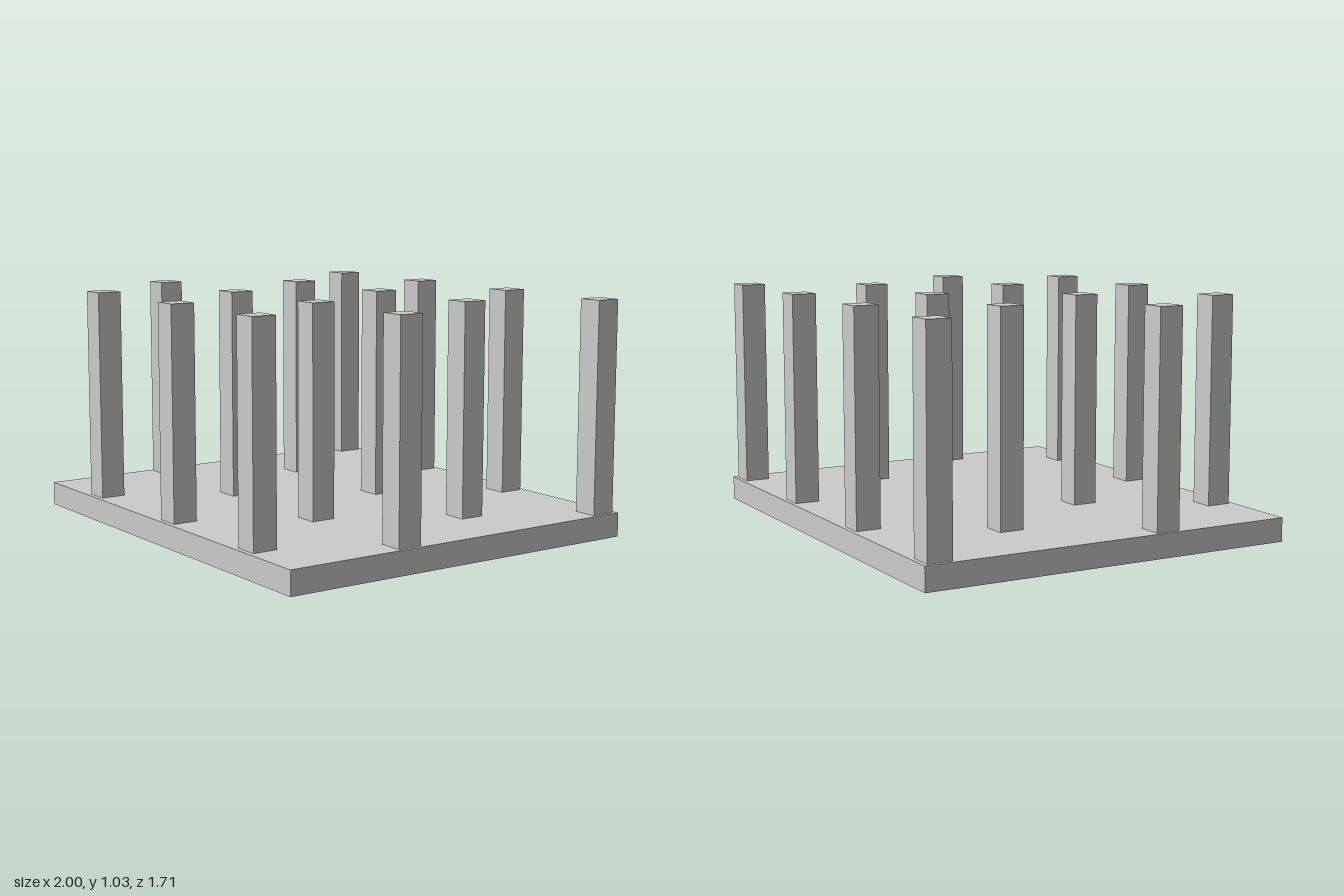
import * as THREE from 'three';

export function createModel() {
  const model = new THREE.Group();
  const material = new THREE.MeshStandardMaterial({ color: 0xcccccc, flatShading: true });

  const baseHeight = 0.105;
  const postHeight = 0.925;
  const postWidth = 0.11;

  // Flat slab that carries the posts
  const base = new THREE.Mesh(new THREE.BoxGeometry(2, baseHeight, 1.706), material);
  base.name = 'base';
  base.position.y = baseHeight / 2;
  model.add(base);

  // Square posts in staggered rows, back to front
  const wideRow = [-0.928, -0.298, 0.334, 0.928];
  const narrowRow = [-0.602, 0.04, 0.655];
  const rows = [
    { z: -0.779, xs: wideRow },
    { z: -0.276, xs: narrowRow },
    { z: 0.273, xs: wideRow },
    { z: 0.776, xs: narrowRow },
  ];
  const postGeometry = new THREE.BoxGeometry(postWidth, postHeight, postWidth);
  for (const { z, xs } of rows) {
    const row = new THREE.Group();
    row.name = 'postRow';
    row.position.set(0, baseHeight + postHeight / 2, z);
    for (const x of xs) {
      const post = new THREE.Mesh(postGeometry, material);
      post.name = 'post';
      post.position.x = x;
      row.add(post);
    }
    model.add(row);
  }

  return model;
}
